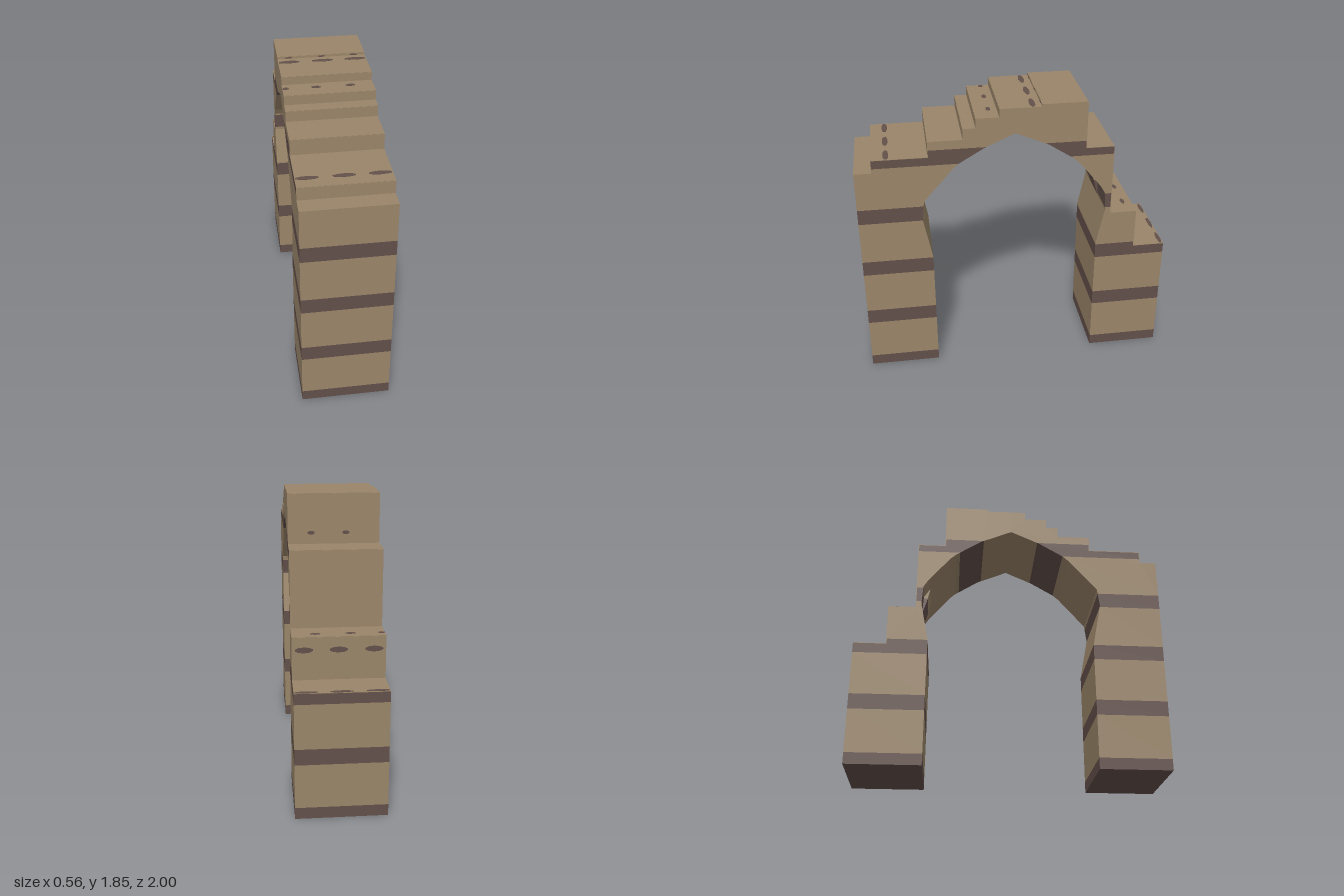
import * as THREE from 'three';

const X0 = -0.28, X1 = 0.277, CROWN = 0.01;

export function createModel() {
  const model = new THREE.Group();
  const sand = new THREE.MeshStandardMaterial({ color: 0x9a8569 });
  sand.name = 'sandstone';
  const umber = new THREE.MeshStandardMaterial({ color: 0x63504a });
  umber.name = 'dark stone';

  // Horizontal courses, alternating dark and light from the ground up
  const courses = [0, 0.072, 0.35, 0.45, 0.73, 0.83, 1.11, 1.21, 1.49, 1.59, 1.9];

  // Stepped outer outline and arch soffit as [z, y], from front to back
  const frontSteps = [[1, 1.46], [0.89, 1.46], [0.89, 1.543], [0.545, 1.543], [0.545, 1.645], [0.33, 1.645],
    [0.33, 1.715], [0.25, 1.715], [0.25, 1.777], [0.105, 1.777], [0.105, 1.83], [CROWN, 1.83]];
  const backSteps = [[CROWN, 1.83], [-0.155, 1.83], [-0.155, 1.846], [-0.435, 1.846], [-0.435, 1.54],
    [-0.615, 1.54], [-0.615, 1.063], [-0.79, 1.063], [-0.79, 0.797], [-1, 0.797]];
  const frontSoffit = [[CROWN, 1.67], [0.2, 1.585], [0.36, 1.49], [0.4, 1.455], [0.585, 1.24],
    [0.6, 1.12], [0.545, 0.83], [0.545, 0]];
  const backSoffit = [[-0.53, 0], [-0.53, 0.84], [-0.58, 1.09], [-0.572, 1.22], [-0.54, 1.27],
    [-0.4, 1.44], [-0.36, 1.475], [-0.2, 1.58], [CROWN, 1.67]];

  // Keep the part of a polygon on one side of a height
  function clip(points, y, sign) {
    const out = [];
    points.forEach((a, i) => {
      const b = points[(i + 1) % points.length];
      const da = (a[1] - y) * sign, db = (b[1] - y) * sign;
      if (da >= 0) out.push(a);
      if (da * db < 0) {
        const t = da / (da - db);
        out.push([a[0] + (b[0] - a[0]) * t, y]);
      }
    });
    return out;
  }

  // Extrude an outline across the width, one mesh per course
  function masonry(name, outline, x0, x1) {
    const group = new THREE.Group();
    group.name = name;
    for (let i = 0; i < courses.length - 1; i++) {
      const part = clip(clip(outline, courses[i], 1), courses[i + 1], -1);
      if (part.length < 3) continue;
      const shape = new THREE.Shape(part.map(p => new THREE.Vector2(p[0], p[1])));
      const geo = new THREE.ExtrudeGeometry(shape, { depth: x1 - x0, bevelEnabled: false });
      geo.rotateY(-Math.PI / 2).translate(x1, 0, 0);
      const mesh = new THREE.Mesh(geo, i % 2 ? sand : umber);
      mesh.name = i % 2 ? 'lightCourse' : 'darkCourse';
      group.add(mesh);
    }
    model.add(group);
  }
  masonry('frontHalfArch', [[1, 0], ...frontSteps, ...frontSoffit], X0, X1);
  masonry('backHalfArch', [...backSteps, [-1, 0], ...backSoffit], X0, X1);
  // Small block standing proud of the soffit
  masonry('soffitBlock', [[-0.53, 1.285], [-0.553, 1.18], [-0.578, 1.1], [-0.6, 1.15], [-0.59, 1.27]], -0.13, 0.08);

  // Plain light facing on every tread and riser
  const facing = new THREE.Group();
  facing.name = 'stepFacing';
  const T = 0.004;
  for (const steps of [frontSteps, backSteps]) {
    for (let i = 0; i < steps.length - 1; i++) {
      const [za, ya] = steps[i], [zb, yb] = steps[i + 1];
      const plate = new THREE.Mesh(
        new THREE.BoxGeometry(X1 - X0, Math.max(Math.abs(yb - ya), T), Math.max(Math.abs(zb - za), T)), sand);
      plate.position.set((X0 + X1) / 2, (ya + yb) / 2, (za + zb) / 2);
      plate.name = 'facingPlate';
      facing.add(plate);
    }
  }
  model.add(facing);

  // Flat weathering patches: half width, half height, upright or lying
  const patches = new THREE.Group();
  patches.name = 'weatheringPatches';
  function patchRow(xs, y, z, rx, ry, upright) {
    for (const x of xs) {
      // trim each patch to the width of the arch
      const lo = Math.max(x - rx, X0), hi = Math.min(x + rx, X1);
      const geo = new THREE.CylinderGeometry(1, 1, 0.008, 10);
      geo.scale((hi - lo) / 2, 1, ry);
      if (upright) geo.rotateX(Math.PI / 2);
      const patch = new THREE.Mesh(geo, umber);
      patch.position.set((lo + hi) / 2, y, z);
      patch.name = 'patch';
      patches.add(patch);
    }
  }
  const wide = [-0.21, 0, 0.205], small = [-0.27, -0.075, 0.135];
  patchRow(wide, 1.83, -0.1, 0.068, 0.018);
  patchRow(wide, 1.543, 0.8, 0.068, 0.018);
  patchRow(wide, 0.797, -0.985, 0.07, 0.013);
  patchRow(small, 1.063, -0.735, 0.032, 0.014);
  patchRow(small, 1.777, 0.16, 0.03, 0.014);
  patchRow(wide, 0.985, -0.79, 0.055, 0.018, true);
  patchRow([-0.075, 0.135], 1.61, -0.435, 0.022, 0.012, true);
  patchRow(wide, 1.838, -0.155, 0.025, 0.005, true);
  model.add(patches);

  return model;
}
